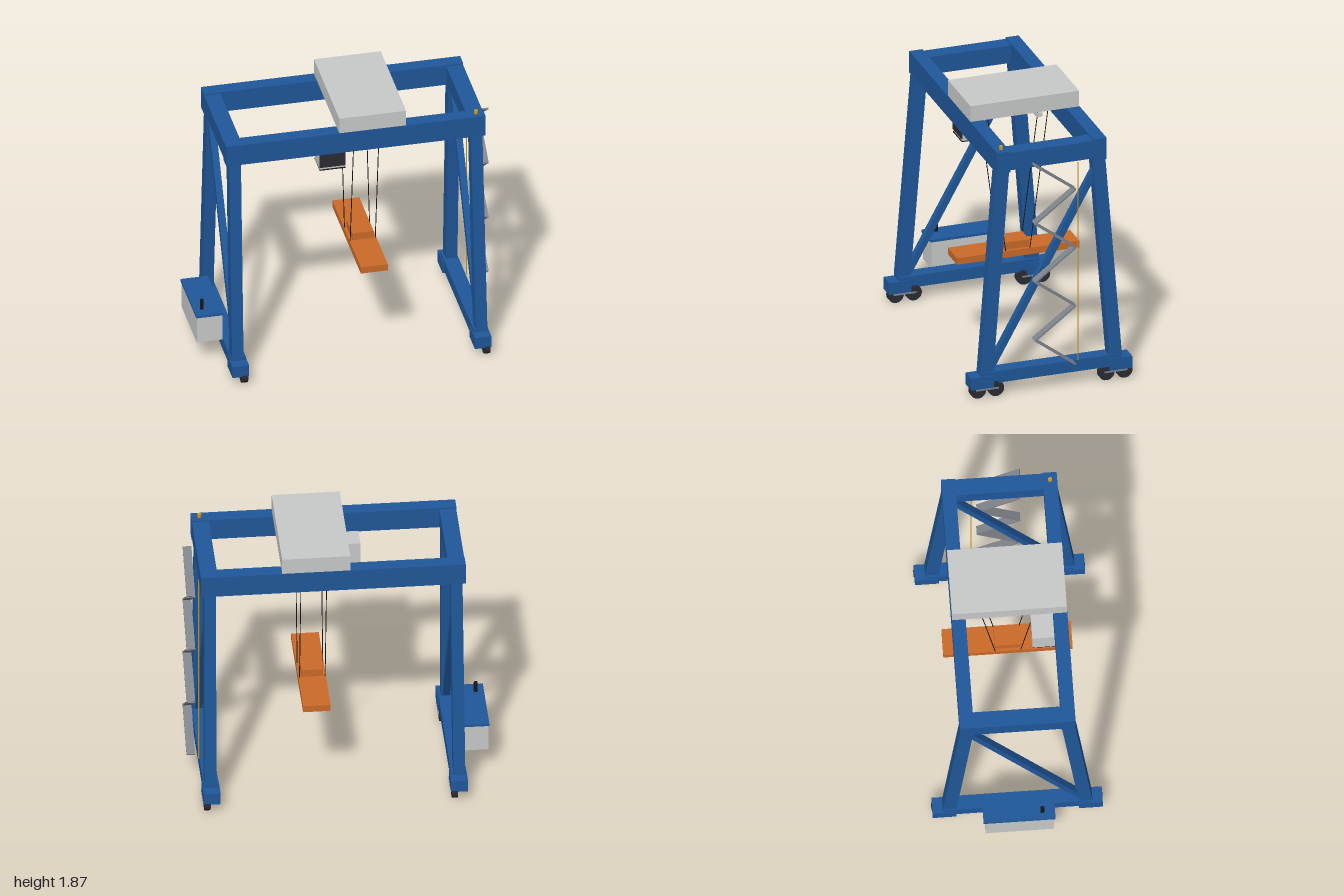
import * as THREE from 'three';

const mat = (name, color) => {
  const m = new THREE.MeshStandardMaterial({ color });
  m.name = name;
  return m;
};

export function createModel() {
  const root = new THREE.Group();
  root.name = 'gantryCrane';

  const blue = mat('blue steel', 0x1f5799);
  const pale = mat('pale grey', 0xc8caca);
  const orange = mat('orange', 0xcb6a28);
  const dark = mat('dark glass and rubber', 0x2b2b33);
  const black = mat('black', 0x17171a);
  const grey = mat('stair grey', 0x7f848b);
  const gold = mat('amber', 0xc9971f);

  const add = (name, geo, m, parent = root) => {
    const mesh = new THREE.Mesh(geo, m);
    mesh.name = name;
    parent.add(mesh);
    return mesh;
  };

  // Box given by its extents along each axis
  const box = (name, m, [x0, x1], [y0, y1], [z0, z1], parent = root) => {
    const mesh = add(name, new THREE.BoxGeometry(x1 - x0, y1 - y0, z1 - z0), m, parent);
    mesh.position.set((x0 + x1) / 2, (y0 + y1) / 2, (z0 + z1) / 2);
    return mesh;
  };

  // Leaning column with level ends
  const column = (name, m, a, b, w, d, parent = root) => {
    const geo = new THREE.BoxGeometry(w, b[1] - a[1], d);
    const p = geo.attributes.position;
    for (let i = 0; i < p.count; i++) {
      const end = p.getY(i) < 0 ? a : b;
      p.setXYZ(i, p.getX(i) + end[0], end[1], p.getZ(i) + end[2]);
    }
    geo.computeVertexNormals();
    return add(name, geo, m, parent);
  };

  // Geometry whose y axis is laid from point a to point b
  const along = (mesh, a, b) => {
    const va = new THREE.Vector3(...a), vb = new THREE.Vector3(...b);
    mesh.position.copy(va).add(vb).multiplyScalar(0.5);
    mesh.quaternion.setFromUnitVectors(new THREE.Vector3(0, 1, 0), vb.sub(va).normalize());
    return mesh;
  };
  const dist = (a, b) => new THREE.Vector3(...a).distanceTo(new THREE.Vector3(...b));
  const bar = (name, m, a, b, w, d, parent = root) =>
    along(add(name, new THREE.BoxGeometry(w, dist(a, b), d), m, parent), a, b);
  const rod = (name, m, a, b, r, sides = 8, parent = root) =>
    along(add(name, new THREE.CylinderGeometry(r, r, dist(a, b), sides), m, parent), a, b);

  // Top frame
  for (const s of [-1, 1]) {
    box('mainBeam', blue, [-0.83, 0.925], [1.605, 1.757], s > 0 ? [0.29, 0.383] : [-0.383, -0.29]);
  }

  // Two side frames: legs, sill, brace, bogies and wheels
  const middle = 0.0475;
  for (const s of [-1, 1]) {
    const side = new THREE.Group();
    side.name = s > 0 ? 'leftSideFrame' : 'rightSideFrame';
    root.add(side);
    const xb = middle + s * 0.825, xt = middle + s * 0.817;
    const xc = middle + s * 0.82;

    box('crossBeam', blue, [xc - 0.056, xc + 0.056], [1.62, 1.746], [-0.3, 0.3], side);
    box('sillBeam', blue, [xc - 0.05, xc + 0.05], [0.095, 0.178], [-0.49, 0.49], side);
    bar('diagonalBrace', blue, [xc, 0.2, 0.41], [xc, 1.52, -0.32], 0.045, 0.045, side);

    for (const e of [-1, 1]) {
      column('leg', blue, [xb, 0.17, e * 0.45], [xt, 1.61, e * 0.336], 0.078, 0.09, side);
      const z = [e * 0.405, e * 0.563].sort((a, b) => a - b);
      box('bogie', blue, [xc - 0.056, xc + 0.056], [0.067, 0.152], z, side);

      const xw = xc + 0.03;
      for (const zw of [0.386, 0.512]) {
        const wheel = add('wheel', new THREE.CylinderGeometry(0.055, 0.055, 0.04, 24), dark, side);
        wheel.rotation.z = Math.PI / 2;
        wheel.position.set(xw, 0.055, e * zw);
      }
      const zBar = [e * 0.37, e * 0.53].sort((a, b) => a - b);
      box('axleBar', grey, [xw + 0.015, xw + 0.027], [0.055, 0.064], zBar, side);
    }
  }

  // Trolley on top, with the hoist blocks below it
  box('trolley', pale, [-0.065, 0.387], [1.757, 1.87], [-0.38, 0.38]);
  for (const z of [-0.21, 0.215]) {
    box('hoistBlock', pale, [0.01, 0.08], [1.577, 1.605], [z - 0.02, z + 0.02]);
  }

  // Operator cab with front window and glass floor
  const cab = new THREE.Group();
  cab.name = 'operatorCab';
  root.add(cab);
  box('cabShell', pale, [-0.18, -0.006], [1.441, 1.61], [0.143, 0.3], cab);
  box('cabWindow', dark, [-0.18, -0.006], [1.456, 1.61], [0.3, 0.306], cab);
  box('cabFloor', black, [-0.18, -0.006], [1.434, 1.441], [0.143, 0.304], cab);

  // Spreader hung on four ropes
  box('spreaderBeam', orange, [0.07, 0.253], [0.675, 0.722], [-0.428, 0.428]);
  box('spreaderHead', orange, [0.09, 0.232], [0.722, 0.775], [-0.085, 0.085]);
  for (const x of [0.075, 0.245]) {
    for (const s of [-1, 1]) {
      rod('hoistRope', black, [x, 0.72, s * 0.085], [x, 1.757, s * 0.218], 0.003, 6);
    }
  }

  // Power unit with lid and exhaust
  const power = new THREE.Group();
  power.name = 'powerUnit';
  root.add(power);
  box('powerHousing', pale, [-0.995, -0.82], [0.163, 0.357], [-0.225, 0.228], power);
  box('powerLid', blue, [-1, -0.815], [0.357, 0.374], [-0.238, 0.238], power);
  rod('exhaustPipe', black, [-0.945, 0.37, 0.154], [-0.945, 0.445, 0.154], 0.013, 12, power);

  // Zigzag stair of seven flights
  const stair = new THREE.Group();
  stair.name = 'zigzagStair';
  root.add(stair);
  const turn = (i) => [0.97, 0.185 + i * 0.2105, i % 2 ? 0.141 : -0.141];
  for (let i = 0; i < 7; i++) bar('stairFlight', grey, turn(i), turn(i + 1), 0.058, 0.011, stair);

  // Cable line down the side, and warning beacon
  rod('powerCable', gold, [0.922, 0.18, -0.183], [0.922, 1.61, -0.183], 0.004, 8);
  rod('beacon', gold, [0.87, 1.755, 0.336], [0.87, 1.78, 0.336], 0.014, 14);

  return root;
}
